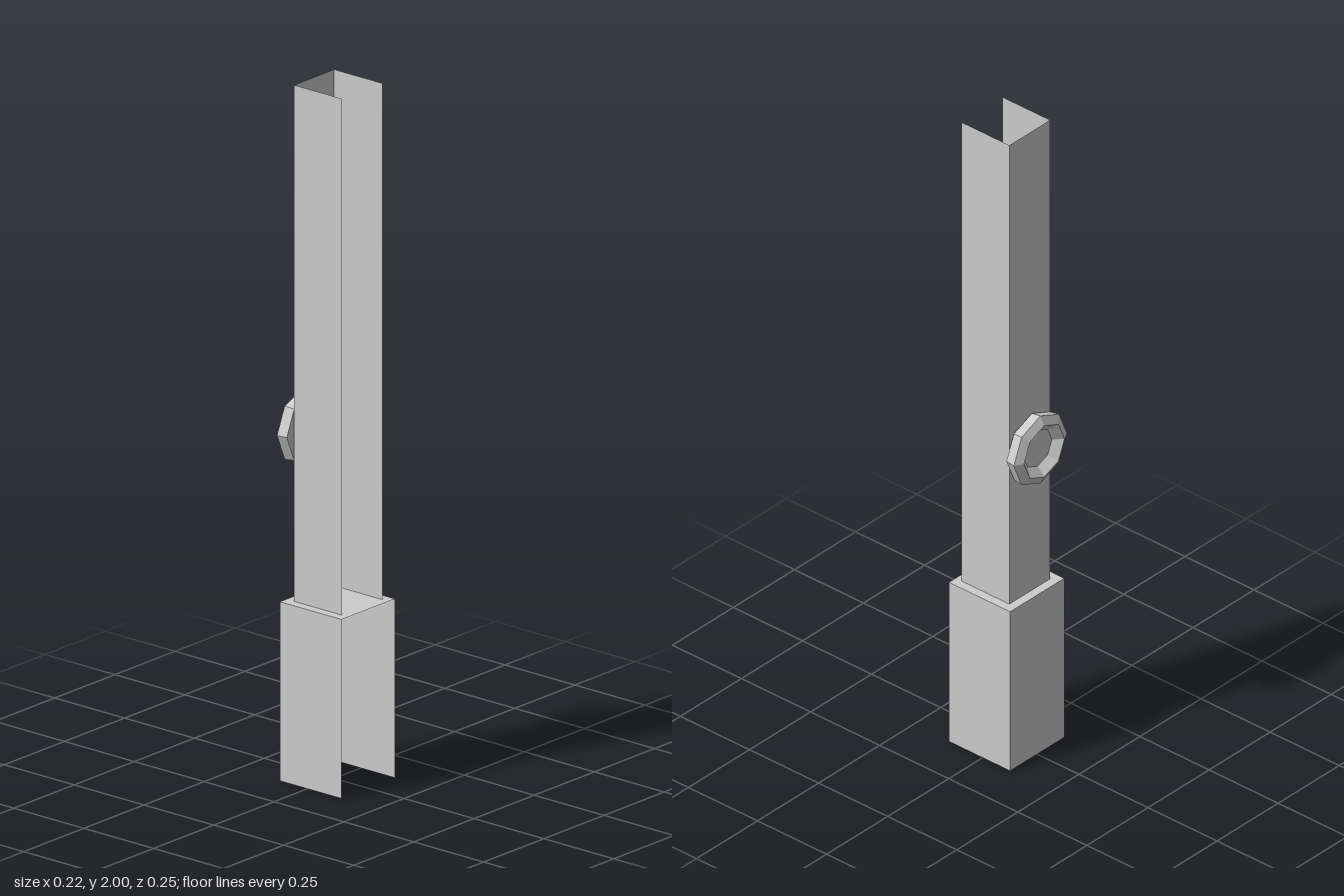
import * as THREE from 'three';

export function createModel() {
  const model = new THREE.Group();
  const sheet = new THREE.MeshStandardMaterial({ color: 0xcccccc, side: THREE.DoubleSide, flatShading: true });
  sheet.name = 'plain grey';

  function panel(name, w, h, x, y, z, rotX = 0, rotY = 0) {
    const mesh = new THREE.Mesh(new THREE.PlaneGeometry(w, h), sheet);
    mesh.name = name;
    mesh.position.set(x, y, z);
    mesh.rotation.set(rotX, rotY, 0);
    return mesh;
  }

  // Thin three-sided channel, open at the front
  function channel(name, half, back, front, bottom, top) {
    const group = new THREE.Group();
    group.name = name;
    const h = top - bottom, y = (top + bottom) / 2;
    group.add(panel(name + 'Back', half * 2, h, 0, y, back, 0, Math.PI));
    for (const s of [-1, 1]) {
      group.add(panel(name + (s > 0 ? 'LeftSide' : 'RightSide'), front - back, h,
        s * half, y, (front + back) / 2, 0, s * Math.PI / 2));
    }
    return group;
  }

  model.add(channel('post', 0.0835, -0.072, 0.1, 0.508, 2));

  // Wider base sleeve with a flat top
  const base = channel('base', 0.111, -0.099, 0.122, 0, 0.515);
  base.add(panel('baseTop', 0.222, 0.221, 0, 0.515, 0.0115, -Math.PI / 2));
  model.add(base);

  // Eight-sided knob with a dished face on the back of the post
  const profile = [
    [0.062, 0.071], [0.062, 0.079], [0.104, 0.079], [0.109, 0.11],
    [0.083, 0.124], [0.058, 0.1], [0, 0.1],
  ].map(([r, y]) => new THREE.Vector2(r, y));
  const knob = new THREE.Mesh(new THREE.LatheGeometry(profile, 8), sheet);
  knob.name = 'knob';
  knob.rotation.x = -Math.PI / 2;
  knob.position.set(-0.001, 0.99, 0);
  model.add(knob);

  return model;
}
